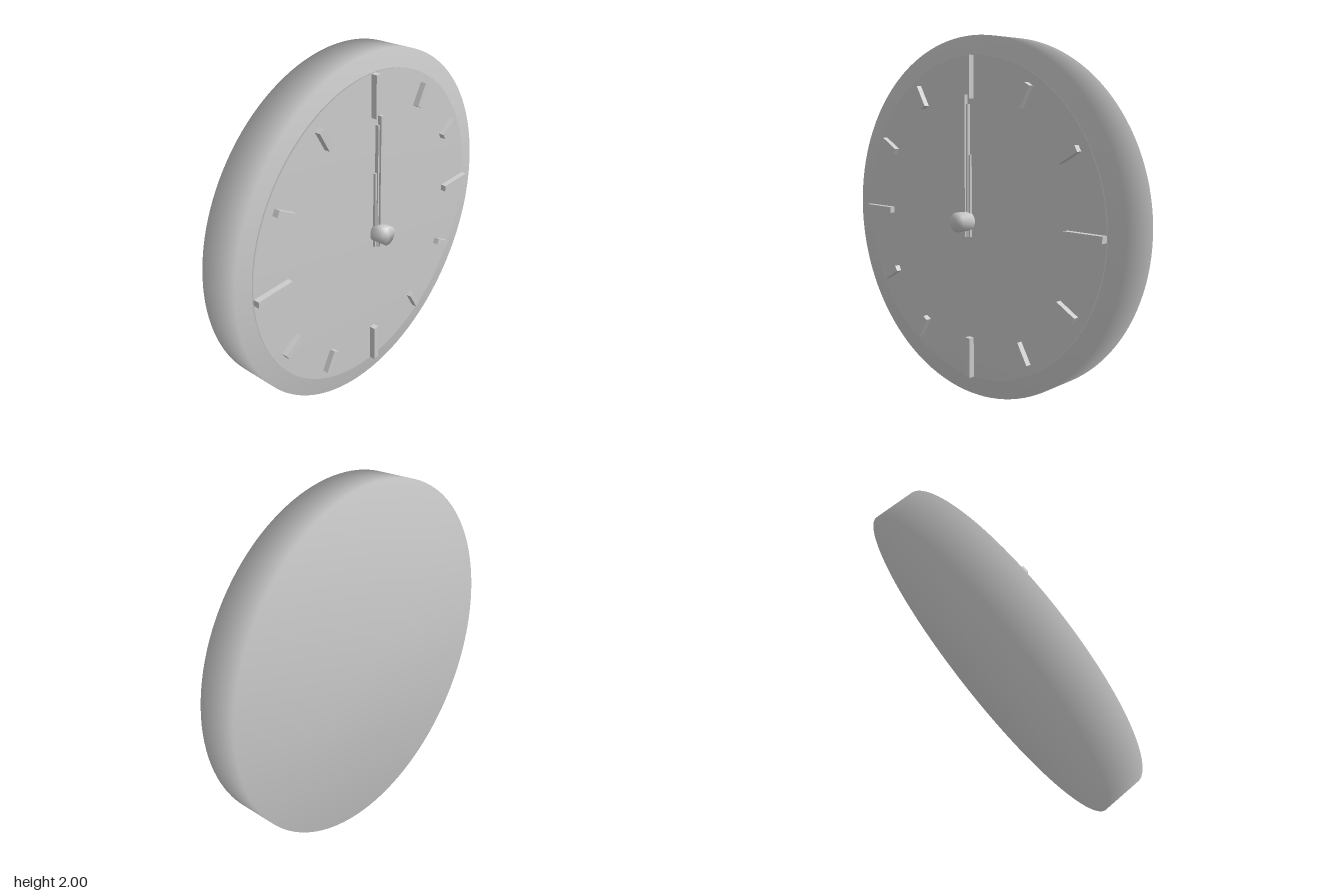
import * as THREE from 'three';

export function createModel() {
  const model = new THREE.Group();
  model.name = 'wallClock';
  const grey = new THREE.MeshStandardMaterial({ color: 0xcccccc });
  grey.name = 'light grey';

  // Closed disc facing +z, with normals blended softly over its rim
  function disc(name, radius, back, front, segments) {
    const profile = [[0, back], [radius, back], [radius, front], [0, front]]
      .map(([r, z]) => new THREE.Vector2(r, z));
    const geometry = new THREE.LatheGeometry(profile, segments).rotateX(Math.PI / 2);
    const mesh = new THREE.Mesh(geometry, grey);
    mesh.name = name;
    mesh.position.y = 1;
    model.add(mesh);
  }

  // Upright bar, from one height to another above the clock centre
  function bar(name, width, from, to, back, front, angle = 0) {
    const geometry = new THREE.BoxGeometry(width, to - from, front - back);
    geometry.translate(0, (from + to) / 2, (back + front) / 2);
    const mesh = new THREE.Mesh(geometry, grey);
    mesh.name = name;
    mesh.position.y = 1;
    mesh.rotation.z = angle;
    model.add(mesh);
  }

  // Case and raised dial
  disc('case', 1, -0.175, 0.053, 128);
  disc('dial', 0.895, 0.04, 0.064, 128);

  // Hour markers, longer at the quarters
  for (let i = 0; i < 12; i++) {
    const angle = -i * Math.PI / 6;
    if (i % 3 === 0) bar('quarterMarker', 0.036, 0.665, 0.895, 0.06, 0.097, angle);
    else bar('hourMarker', 0.036, 0.715, 0.845, 0.06, 0.097, angle);
  }

  // Hands, all pointing to twelve
  bar('hourHand', 0.06, -0.085, 0.365, 0.09, 0.105);
  bar('minuteHand', 0.038, -0.085, 0.635, 0.092, 0.112);
  bar('secondHand', 0.018, -0.085, 0.685, 0.1, 0.123);

  // Spindle and centre knob
  disc('spindle', 0.018, 0.05, 0.1, 24);
  disc('centreKnob', 0.054, 0.09, 0.175, 48);

  return model;
}
